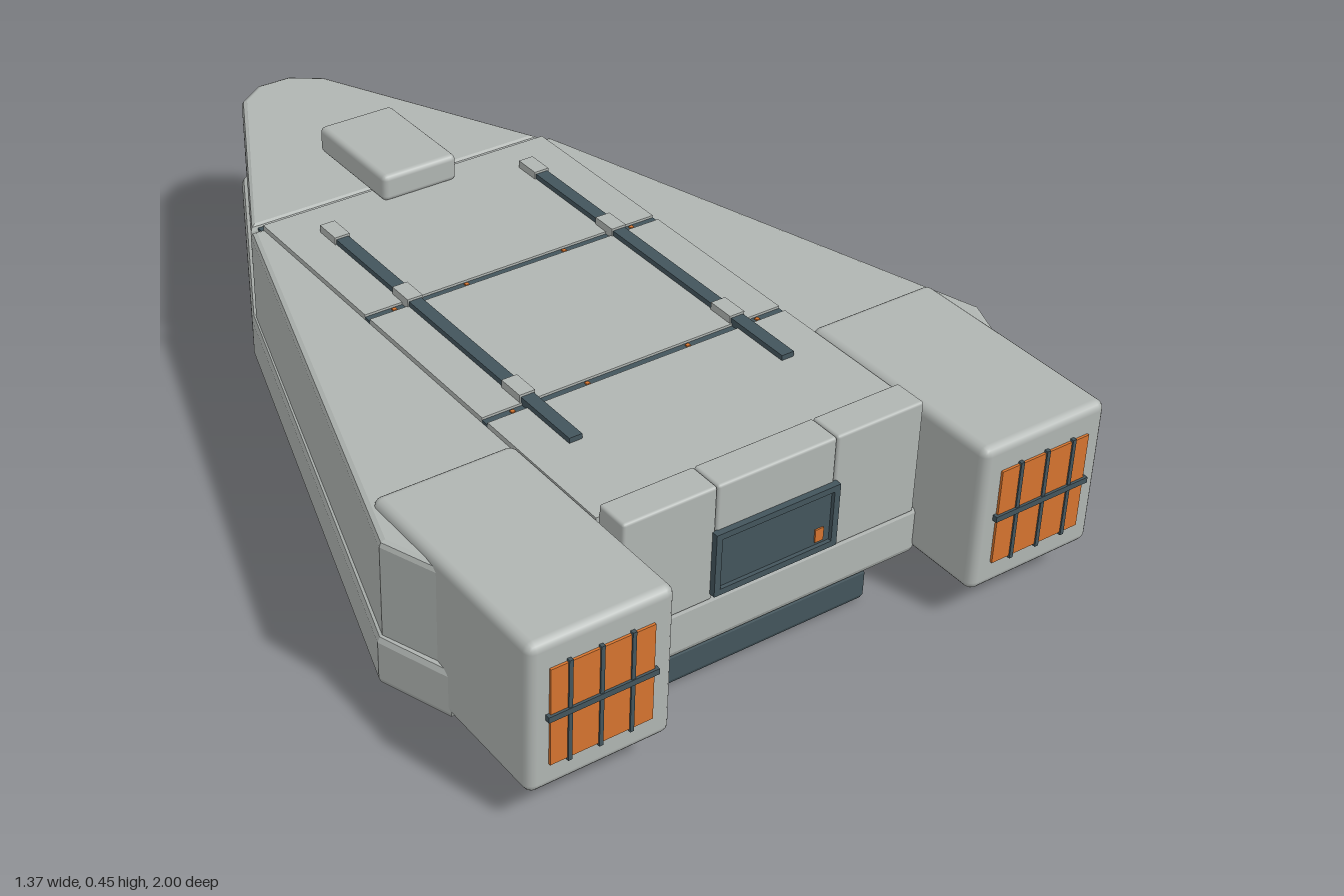
import * as THREE from 'three';
import { RoundedBoxGeometry } from 'three/addons/geometries/RoundedBoxGeometry.js';

function paint(name, color) {
  const m = new THREE.MeshStandardMaterial({ color });
  m.name = name;
  return m;
}

export function createModel() {
  const model = new THREE.Group();
  model.name = 'shuttle';
  const grey = paint('hull grey', 0xb0b5b2);
  const slate = paint('dark slate', 0x43555c);
  const black = paint('vent black', 0x262d30);
  const orange = paint('engine orange', 0xd5742f);

  const add = (name, geometry, material) => {
    const mesh = new THREE.Mesh(geometry, material);
    mesh.name = name;
    model.add(mesh);
    return mesh;
  };
  // Box given by its limits; r > 0 softens the edges
  const box = (name, mat, x0, x1, y0, y1, z0, z1, r = 0) => {
    const s = [x1 - x0, y1 - y0, z1 - z0];
    const g = r ? new RoundedBoxGeometry(...s, 2, r) : new THREE.BoxGeometry(...s);
    g.translate((x0 + x1) / 2, (y0 + y1) / 2, (z0 + z1) / 2);
    return add(name, g, mat);
  };
  // Bevelled slab from the left half of a plan outline of [x, z], mirrored
  const slab = (name, mat, half, y0, y1, bevel) => {
    const right = half.map(([x, z]) => [-x, z]).reverse();
    const shape = new THREE.Shape([...half, ...right].map(([x, z]) => new THREE.Vector2(x, -z)));
    const g = new THREE.ExtrudeGeometry(shape, {
      depth: y1 - y0 - 2 * bevel, bevelEnabled: true, bevelThickness: bevel,
      bevelSize: bevel, bevelOffset: -bevel, bevelSegments: 2,
    });
    g.rotateX(-Math.PI / 2).translate(0, y0 + bevel, 0);
    return add(name, g, mat);
  };

  // Hull: wide lower tray, rear body and separate nose
  slab('lowerHull', grey, [[0.34, 0.83], [0.34, 0.75], [0.63, 0.75], [0.685, 0.6],
    [0.37, -0.43], [0.115, -0.945], [0.045, -0.997]], 0.065, 0.175, 0.015);
  slab('rearBody', grey, [[0.33, 0.76], [0.34, 0.73], [0.625, 0.73], [0.675, 0.6],
    [0.365, -0.42]], 0.15, 0.376, 0.012);
  slab('nose', grey, [[0.352, -0.445], [0.105, -0.94], [0.04, -0.987]], 0.15, 0.37, 0.012);
  box('noseGap', slate, -0.335, 0.335, 0.16, 0.362, -0.46, -0.405);

  // Raised deck panels with dark seams between them
  [[-0.412, -0.009], [0.009, 0.403], [0.421, 0.76]].forEach(([z0, z1]) =>
    box('deckPanel', grey, -0.34, 0.34, 0.37, 0.387, z0, z1));
  [0, 0.412].forEach((z) => {
    box('deckSeam', slate, -0.34, 0.34, 0.37, 0.382, z - 0.009, z + 0.009);
    [-0.115, 0.115, -0.28, 0.28].forEach((x) =>
      box('seamLight', orange, x - 0.004, x + 0.004, 0.38, 0.385, z - 0.004, z + 0.004));
  });

  // Rear bulkhead in three sections, with the hatch window
  [[-0.333, -0.133], [-0.132, 0.132], [0.133, 0.333]].forEach(([a, b]) =>
    box('bulkhead', grey, a, b, 0.165, 0.412, 0.757, 0.83, 0.006));
  box('hatchWindow', slate, -0.13, 0.13, 0.19, 0.31, 0.828, 0.835);
  [[-0.14, 0.137, 0.303, 0.316], [-0.14, 0.137, 0.18, 0.193],
    [-0.14, -0.127, 0.18, 0.316], [0.124, 0.137, 0.18, 0.316]].forEach((f) =>
    box('hatchFrame', slate, ...f, 0.828, 0.843));
  box('hatchLight', orange, 0.09, 0.109, 0.2, 0.228, 0.834, 0.838);

  // Sensor block on the spine
  box('sensorBase', grey, -0.06, 0.06, 0.36, 0.39, -0.57, -0.4);
  box('sensorBlock', grey, -0.088, 0.088, 0.385, 0.445, -0.62, -0.355, 0.012);
  box('sensorSlit', slate, -0.055, 0.055, 0.408, 0.422, -0.622, -0.616);

  // Belly keel
  slab('keel', slate, [[0.23, 0.825], [0.23, -0.42], [0.06, -0.835]], 0, 0.075, 0.012);
  slab('keelPlate', black, [[0.215, 0.81], [0.215, -0.415], [0.05, -0.82]], -0.001, 0.004, 0.001);

  for (const s of [-1, 1]) {
    // Mirrored box helper: inner and outer x limits on either side
    const side = (name, mat, a, b, ...rest) =>
      box(name, mat, Math.min(s * a, s * b), Math.max(s * a, s * b), ...rest);

    // Engine pod with barred orange exhaust
    side('enginePod', grey, 0.338, 0.632, 0.075, 0.392, 0.5, 0.99, 0.018);
    side('engineGlow', orange, 0.382, 0.591, 0.13, 0.335, 0.985, 0.995);
    [0.427, 0.49, 0.553].forEach((x) =>
      side('engineBar', slate, x - 0.004, x + 0.004, 0.125, 0.34, 0.985, 0.998));
    side('engineCrossBar', slate, 0.375, 0.598, 0.228, 0.24, 0.985, 1);

    // Roof rail and its clips
    side('roofRail', slate, 0.226, 0.254, 0.38, 0.398, -0.3, 0.555);
    [[-0.325, -0.265], [-0.045, 0.012], [0.34, 0.4]].forEach(([z0, z1]) =>
      side('railClip', grey, 0.223, 0.257, 0.38, 0.403, z0, z1));

    // Belly vent with four slots
    side('bellyVent', slate, 0.31, 0.46, 0.035, 0.075, 0.26, 0.7, 0.012);
    for (let i = 0; i < 4; i++) {
      const z = 0.295 + i * 0.095;
      side('ventSlot', black, 0.335, 0.435, 0.032, 0.038, z, z + 0.08);
    }
  }
  return model;
}
